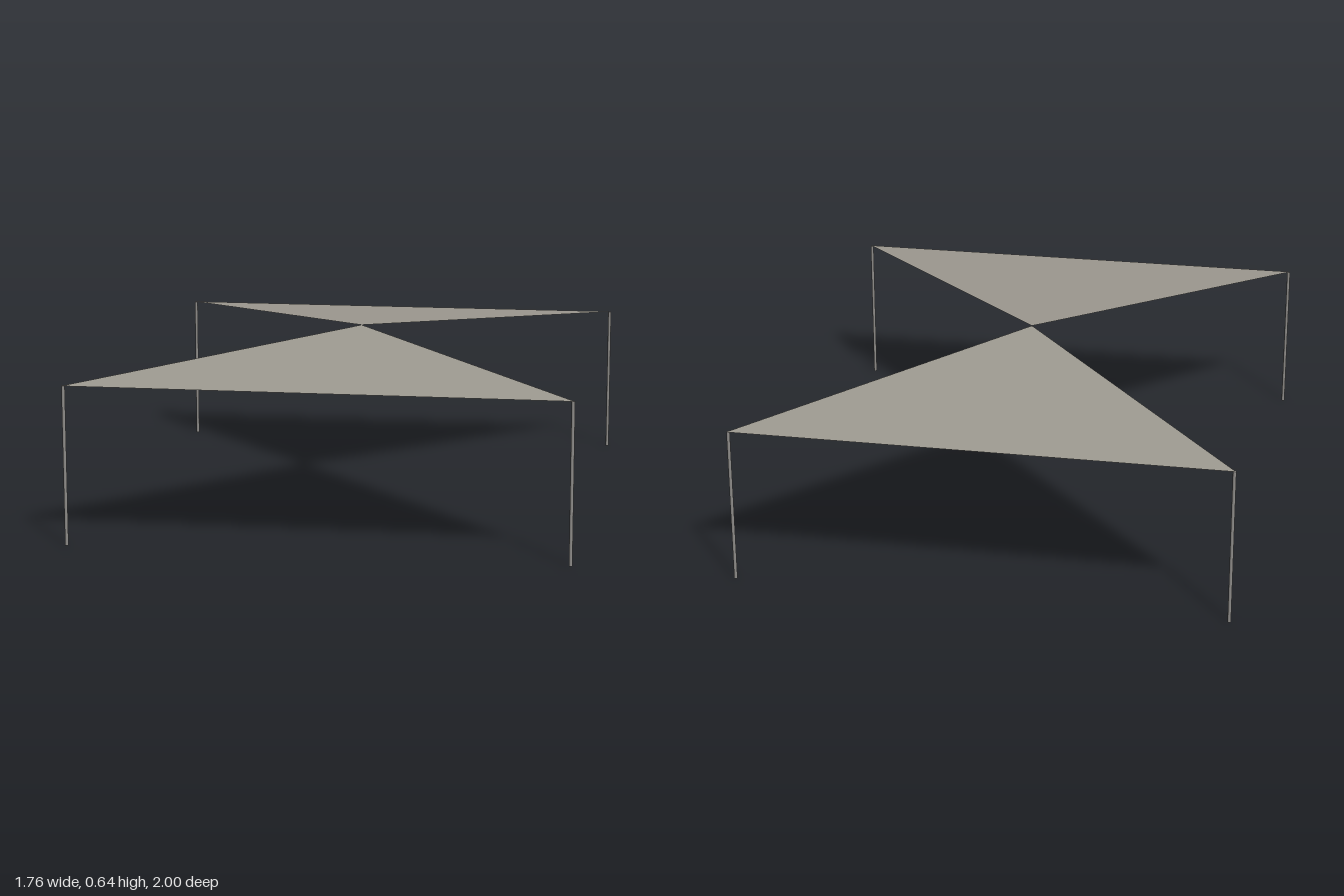
import * as THREE from 'three';

const HALF_W = 0.878, HALF_D = 1, EAVE = 0.562, PEAK = 0.64;

// One triangular sail, from the shared peak down to a level outer edge
function sailGeometry(side) {
  const geo = new THREE.BufferGeometry();
  geo.setAttribute('position', new THREE.Float32BufferAttribute([
    0, PEAK, 0,
    -HALF_W * side, EAVE, HALF_D * side,
    HALF_W * side, EAVE, HALF_D * side,
  ], 3));
  geo.computeVertexNormals();
  return geo;
}

export function createModel() {
  const model = new THREE.Group();
  model.name = 'canopy';

  const fabric = new THREE.MeshStandardMaterial({ color: 0x9e9a91, side: THREE.DoubleSide });
  fabric.name = 'warm grey fabric';
  const metal = new THREE.MeshStandardMaterial({ color: 0x8e8c89 });
  metal.name = 'grey metal';

  // Posts stand just inside the outer corners
  const r = 0.006;
  const postGeo = new THREE.CylinderGeometry(r, r, EAVE, 12);

  for (const sz of [1, -1]) {
    const sail = new THREE.Mesh(sailGeometry(sz), fabric);
    sail.name = sz > 0 ? 'frontSail' : 'backSail';
    model.add(sail);

    for (const sx of [1, -1]) {
      const post = new THREE.Mesh(postGeo, metal);
      post.name = (sz > 0 ? 'front' : 'back') + (sx > 0 ? 'Left' : 'Right') + 'Post';
      post.position.set(sx * (HALF_W - r), EAVE / 2, sz * (HALF_D - r));
      model.add(post);
    }
  }
  return model;
}
